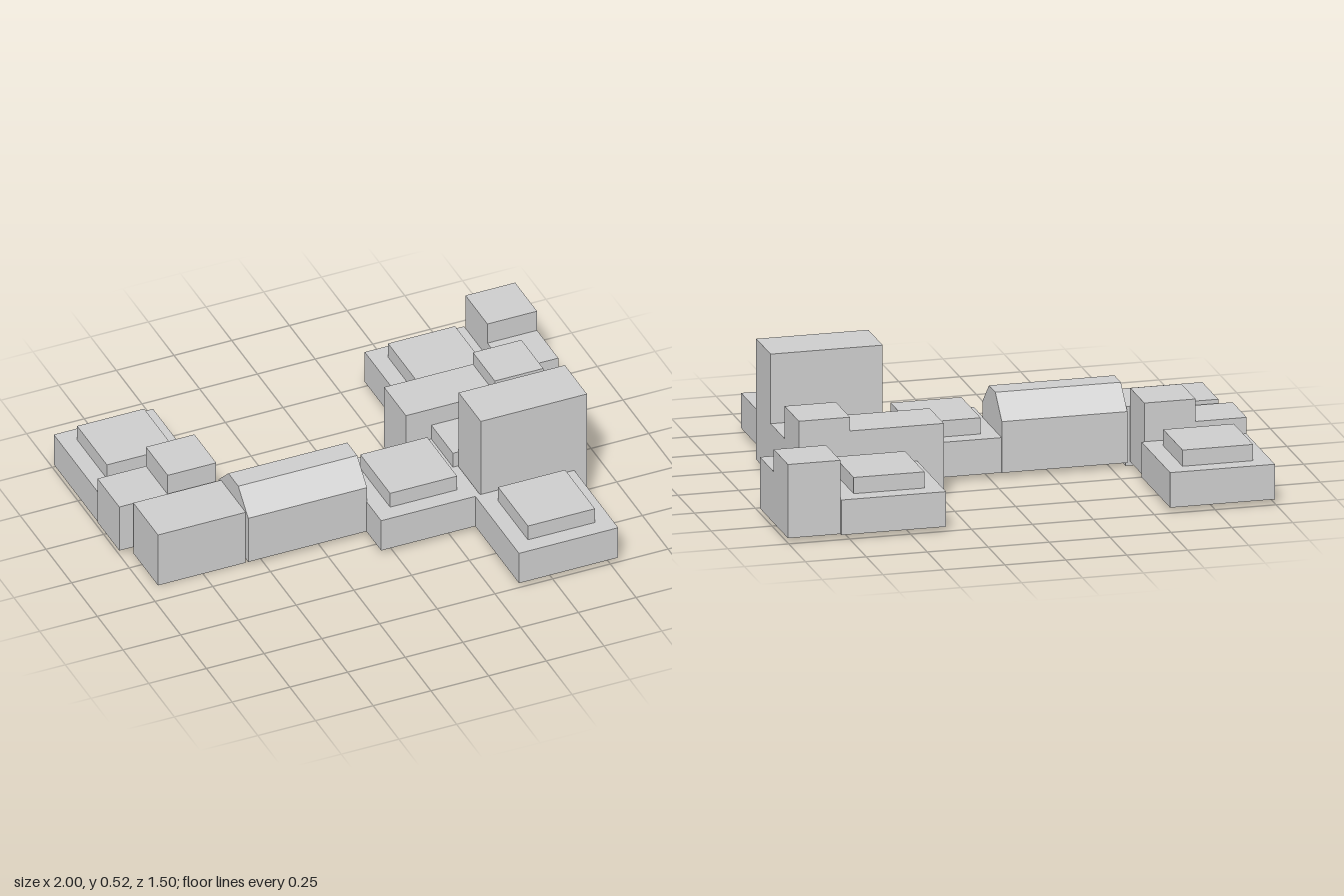
import * as THREE from 'three';

export function createModel() {
  const model = new THREE.Group();
  model.name = 'buildingComplex';
  const grey = new THREE.MeshStandardMaterial({ color: 0xcccccc });
  grey.name = 'pale grey';
  const BASE = 0.02, LOW = 0.165, MID = 0.232, HIGH = 0.325;

  const add = (name, geometry, parent = model) => {
    const mesh = new THREE.Mesh(geometry, grey);
    mesh.name = name;
    parent.add(mesh);
    return mesh;
  };

  // Block given by its plan limits and its bottom and top heights
  const block = (name, x0, x1, z0, z1, top, bottom = BASE, parent = model) =>
    add(name, new THREE.BoxGeometry(x1 - x0, top - bottom, z1 - z0), parent)
      .position.set((x0 + x1) / 2, (bottom + top) / 2, (z0 + z1) / 2);

  // Square low hall with a smaller raised roof
  const hall = (name, x, z) => {
    const group = new THREE.Group();
    group.name = name;
    model.add(group);
    block('hallBody', x - 0.215, x + 0.215, z - 0.215, z + 0.215, LOW, BASE, group);
    block('raisedRoof', x - 0.145, x + 0.145, z - 0.145, z + 0.145, MID, LOW, group);
  };
  hall('farWingHall', -0.783, -0.525);
  hall('centreHall', 0.162, 0.108);
  hall('frontHall', 0.57, 0.533);
  hall('backHall', 0.57, -0.538);

  // Far wing: stepped block and end block
  block('farWingLowStep', -1, -0.79, -0.31, -0.098, MID);
  block('farWingHighStep', -0.79, -0.58, -0.31, -0.098, HIGH);
  block('endBlock', -0.945, -0.565, -0.085, 0.155, 0.245, 0);

  // Long gallery with sloped roof sides, extruded along x
  const profile = new THREE.Shape([
    [-0.18, BASE], [0.11, BASE], [0.11, MID], [0.013, HIGH], [-0.083, HIGH], [-0.18, MID],
  ].map(([x, y]) => new THREE.Vector2(x, y)));
  const gallery = new THREE.ExtrudeGeometry(profile, { depth: 0.515, bevelEnabled: false });
  gallery.rotateY(Math.PI / 2);
  add('gallery', gallery).position.x = -0.565;

  // Main tower and the ring of blocks around the open courtyard
  block('tower', 0.38, 0.84, 0.105, 0.32, 0.52);
  block('courtInnerBlock', 0.355, 0.565, -0.105, 0.105, MID);
  block('courtOuterBlock', 0.63, 0.84, -0.105, 0.105, MID);
  block('courtBackBlock', 0.245, 0.63, -0.318, -0.105, 0.31);
  block('courtCornerTower', 0.63, 0.84, -0.318, -0.105, 0.367);
  add('post', new THREE.CylinderGeometry(0.013, 0.013, 0.04, 16))
    .position.set(0.735, MID + 0.02, 0);

  // Stepped block at the back corner
  block('backLowStep', 0.785, 1, -0.525, -0.318, MID);
  block('backHighStep', 0.785, 1, -0.738, -0.525, HIGH);

  return model;
}
